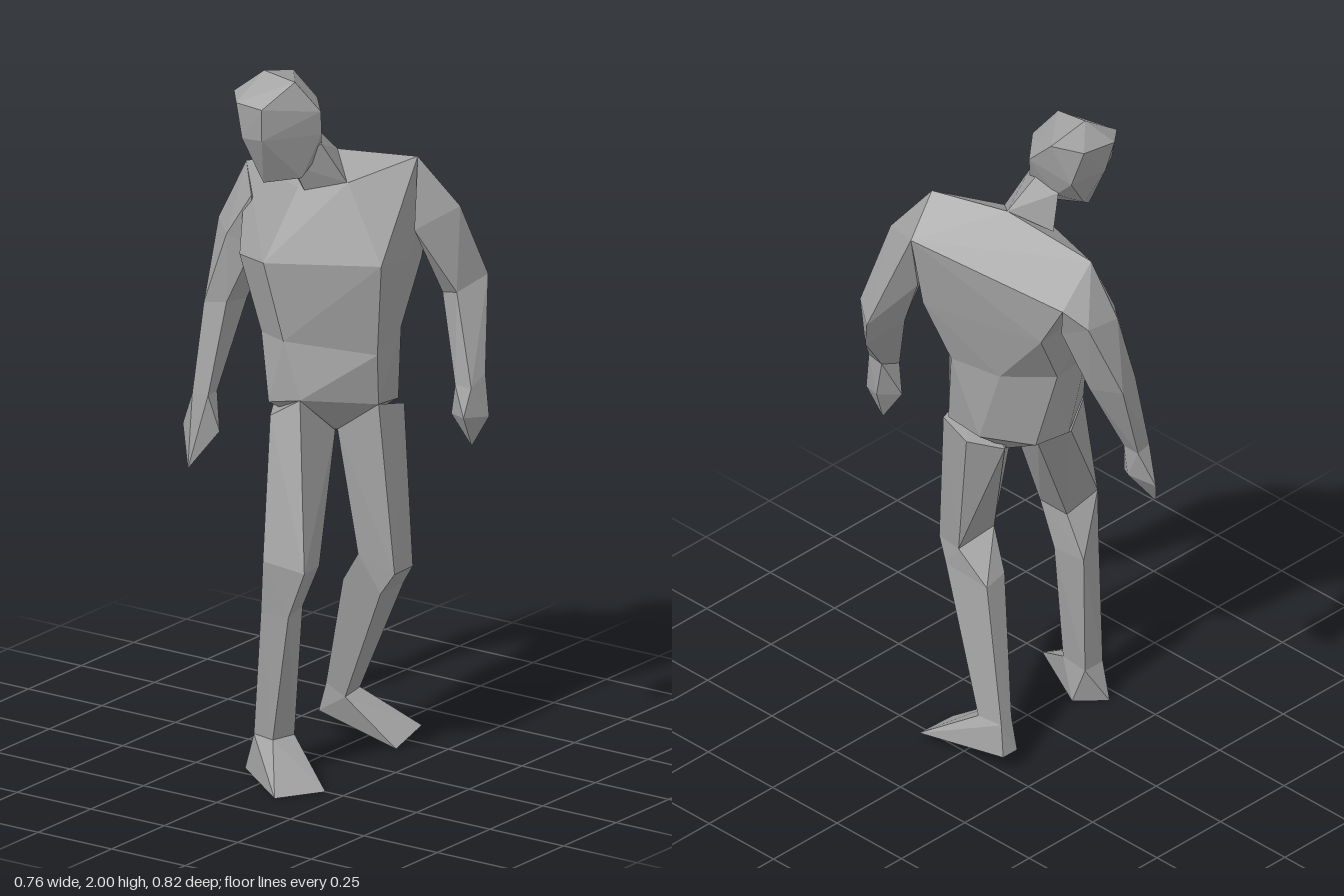
import * as THREE from 'three';
import { mergeGeometries } from 'three/addons/utils/BufferGeometryUtils.js';
import { ConvexGeometry } from 'three/addons/geometries/ConvexGeometry.js';

const clay = new THREE.MeshStandardMaterial({ color: 0xa0a0a0 });
clay.name = 'grey clay';

const vec = (p) => new THREE.Vector3(...p);

// Faceted skin stretched over consecutive cross-sections
function skin(name, ...rings) {
  const pieces = [];
  for (let i = 0; i < rings.length - 1; i++) {
    pieces.push(new ConvexGeometry([...rings[i], ...rings[i + 1]].map(vec)));
  }
  const mesh = new THREE.Mesh(mergeGeometries(pieces), clay);
  mesh.name = name;
  return mesh;
}

function limb(name, ...parts) {
  const group = new THREE.Group();
  group.name = name;
  group.add(...parts);
  return group;
}

export function createModel() {
  const model = new THREE.Group();
  model.name = 'walkingFigure';

  // Head: jaw, brow and crown
  const jaw = [[-0.14, 1.69, -0.1], [-0.07, 1.7, -0.02], [-0.02, 1.77, 0.01], [0, 1.79, -0.11], [-0.08, 1.74, -0.14]];
  const cheeks = [[-0.2, 1.83, -0.13], [-0.19, 1.83, -0.07], [-0.045, 1.83, 0.03], [0.02, 1.83, -0.05], [0, 1.85, -0.17], [-0.12, 1.85, -0.185]];
  const brow = [[-0.2, 1.93, -0.15], [-0.19, 1.92, -0.07], [-0.055, 1.9, 0.035], [0.045, 1.9, -0.05], [-0.03, 1.95, -0.19], [-0.14, 1.94, -0.2]];
  const crown = [[-0.095, 2, -0.13], [-0.095, 1.985, -0.025], [0.03, 1.97, -0.12]];
  model.add(skin('head', [...jaw, ...cheeks], [...brow, ...crown]));

  // Neck
  model.add(skin('neck',
    [[0.02, 1.83, -0.05], [-0.04, 1.8, 0.025], [-0.07, 1.73, -0.05], [0, 1.8, -0.12]],
    [[0.1, 1.74, -0.02], [0.02, 1.68, 0.07], [-0.03, 1.65, -0.04], [0.03, 1.69, -0.13]]));

  // Torso from the shoulders down to the hips
  const shoulders = [[0.174, 1.74, 0.2], [0.1, 1.74, -0.02], [0.04, 1.67, -0.287], [-0.03, 1.655, -0.06],
    [0.02, 1.68, 0.073], [0.28, 1.635, 0.177], [0.143, 1.545, -0.277]];
  const chest = [[-0.013, 1.47, 0.21], [-0.14, 1.455, -0.1], [-0.1, 1.45, -0.21],
    [0.13, 1.45, 0.2], [0.25, 1.42, 0.16], [0.16, 1.42, -0.21]];
  const waist = [[0.01, 1.2, 0.18], [0.13, 1.25, 0.175], [0.2, 1.24, 0.1], [0.17, 1.24, -0.06],
    [0.06, 1.24, -0.175], [-0.08, 1.23, -0.15], [-0.115, 1.23, -0.05]];
  const hips = [[0.03, 1.05, 0.17], [-0.12, 1.07, 0.01], [-0.13, 1.05, -0.09], [-0.01, 1.01, -0.15],
    [0.1, 1.01, -0.13], [0.19, 1.02, 0], [0.18, 1.02, 0.13]];
  const crotch = [[0.03, 0.95, 0.03], [0.08, 0.93, 0], [0.04, 0.94, -0.03]];
  model.add(skin('torso', shoulders, chest, waist, hips, crotch));

  // Arm on the +z side, bent at the elbow
  const wristA = [[0.17, 1.1, 0.33], [0.17, 1.1, 0.385], [0.23, 1.13, 0.39], [0.24, 1.13, 0.33]];
  model.add(limb('bentArm',
    skin('bentArmSleeve',
      [[0.174, 1.74, 0.2], [0.28, 1.635, 0.177], [0.23, 1.6, 0.305], [0.13, 1.54, 0.22], [0.25, 1.47, 0.18]],
      [[0.38, 1.365, 0.25], [0.32, 1.385, 0.335], [0.22, 1.35, 0.3], [0.25, 1.33, 0.23], [0.355, 1.275, 0.28]],
      wristA),
    skin('bentHand', wristA,
      [[0.14, 1.02, 0.38], [0.22, 1.01, 0.41], [0.24, 1.02, 0.35], [0.18, 1.01, 0.31], [0.2, 0.92, 0.365]])));

  // Arm on the -z side, hanging
  const wristB = [[-0.06, 1.02, -0.37], [-0.115, 1.02, -0.36], [-0.06, 1.02, -0.315], [-0.11, 1.02, -0.31]];
  model.add(limb('hangingArm',
    skin('hangingArmSleeve',
      [[0.04, 1.67, -0.287], [0.143, 1.545, -0.277], [-0.03, 1.6, -0.22], [0.05, 1.5, -0.2]],
      [[0.11, 1.5, -0.345], [0.01, 1.5, -0.36], [0.12, 1.45, -0.25], [-0.05, 1.48, -0.29], [-0.02, 1.45, -0.22]],
      [[0.024, 1.27, -0.395], [0.06, 1.26, -0.3], [-0.05, 1.28, -0.29], [-0.06, 1.27, -0.36]],
      wristB),
    skin('hangingHand', wristB,
      [[-0.09, 0.915, -0.41], [-0.09, 0.915, -0.285], [-0.06, 0.93, -0.33], [-0.13, 0.93, -0.35], [-0.15, 0.81, -0.35]])));

  // Leading leg, on the -x side
  const ankleA = [[-0.235, 0.11, 0], [-0.22, 0.11, -0.075], [-0.15, 0.11, -0.075], [-0.16, 0.11, 0.02]];
  model.add(limb('leadingLeg',
    skin('leadingLegLimb',
      [[-0.12, 1.07, 0.01], [-0.15, 1.02, -0.07], [-0.02, 1.01, -0.15], [0.08, 1, -0.12], [0.02, 0.95, 0.03]],
      [[-0.25, 0.62, 0.118], [-0.26, 0.635, -0.016], [-0.15, 0.6, -0.005], [-0.14, 0.61, 0.09]],
      [[-0.245, 0.48, 0.06], [-0.25, 0.48, -0.03], [-0.145, 0.48, -0.075], [-0.135, 0.48, 0.03]],
      ankleA),
    skin('leadingFoot', ankleA,
      [[-0.21, 0, -0.112], [-0.135, 0, -0.04], [-0.25, 0, 0.19], [-0.38, 0, 0.11]])));

  // Trailing leg, on the +x side, heel lifted
  const ankleB = [[0.15, 0.125, -0.03], [0.235, 0.13, -0.04], [0.185, 0.14, -0.12], [0.235, 0.14, -0.13]];
  model.add(limb('trailingLeg',
    skin('trailingLegLimb',
      [[0.03, 1.05, 0.17], [0.18, 1.01, 0.15], [0.19, 0.98, 0.05], [0.12, 0.96, -0.03], [0.03, 0.95, 0.03]],
      [[0.015, 0.57, 0.235], [0.13, 0.56, 0.215], [0.15, 0.57, 0.12], [0.03, 0.6, 0.1]],
      [[0.025, 0.5, 0.18], [0.15, 0.5, 0.17], [0.16, 0.5, 0], [0.07, 0.5, 0.02]],
      ankleB),
    skin('trailingFoot', ankleB,
      [[0.195, 0.05, -0.152], [0.25, 0.05, -0.152], [0.155, 0.005, 0.14], [0.305, 0.03, 0.12]])));

  return model;
}
